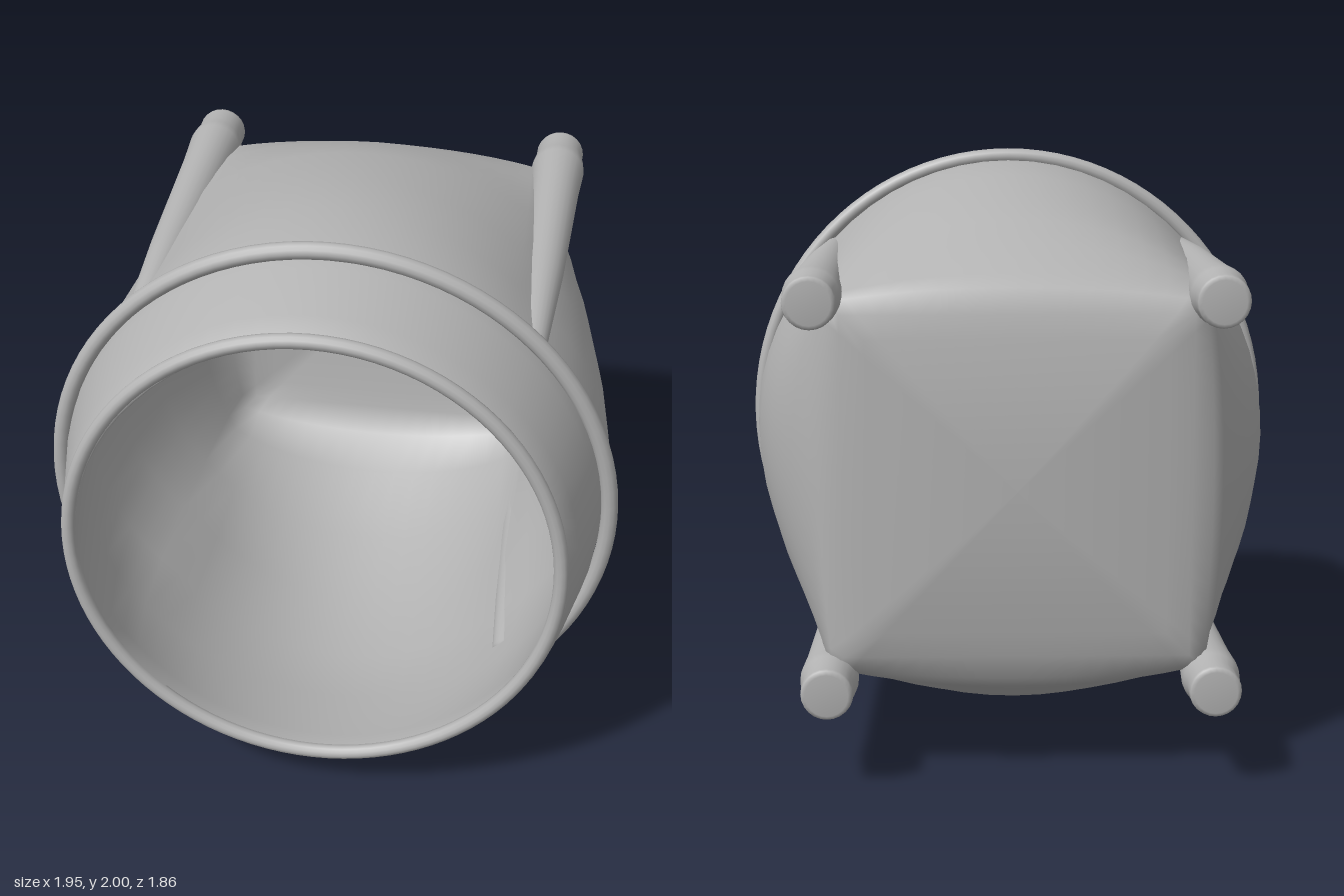
import * as THREE from 'three';

// One cross-section: four arched sides meeting at soft corners.
// c = corner half-width, mx / my = half-width and half-height at mid-side.
const SIDE = 16;
function section([z, c, mx, my, tilt = 0]) {
  const points = [];
  const k = Math.SQRT1_2;
  for (let s = 0; s < 4; s++) {
    for (let j = 0; j < SIDE; j++) {
      const a = (j / SIDE - 0.5) * Math.PI / 2;
      const across = c * Math.sin(a) / k;
      const bulge = (s % 2 ? my : mx) - c;
      const out = c + bulge * (Math.cos(a) - k) / (1 - k);
      const [x, y] = [[out, across], [-across, out], [-out, -across], [across, -out]][s];
      points.push(x, y, z + tilt * y);
    }
  }
  return points;
}

// Skin over a row of sections
function loft(sections) {
  const n = SIDE * 4;
  const positions = sections.flatMap(section);
  const index = [];
  for (let i = 0; i < sections.length - 1; i++) {
    for (let j = 0; j < n; j++) {
      const a = i * n + j, b = i * n + (j + 1) % n;
      index.push(a, b, b + n, a, b + n, a + n);
    }
  }
  const geometry = new THREE.BufferGeometry();
  geometry.setAttribute('position', new THREE.Float32BufferAttribute(positions, 3));
  geometry.setIndex(index);
  geometry.computeVertexNormals();
  return geometry;
}

export function createModel() {
  const group = new THREE.Group();
  const clay = new THREE.MeshStandardMaterial({ color: 0xb3b3b3 });
  const add = (name, geometry, x, y, z) => {
    const mesh = new THREE.Mesh(geometry, clay);
    mesh.name = name;
    mesh.position.set(x, y, z);
    group.add(mesh);
    return mesh;
  };

  // Gently domed back panel, outside and inside
  const steps = [0, 0.2, 0.4, 0.6, 0.8, 0.93];
  const panel = (z, size) => steps.map((f) => [z + 0.06 * f * f, size * f, size * f, size * f]);

  // Hollow body: square at the back, round at the mouth
  add('shell', loft([
    ...panel(-0.86, 0.61),
    [-0.785, 0.605, 0.64, 0.65],
    [-0.75, 0.62, 0.675, 0.69],
    [-0.6, 0.63, 0.745, 0.77],
    [-0.45, 0.635, 0.8, 0.83],
    [-0.3, 0.64, 0.845, 0.88],
    [0, 0.645, 0.905, 0.94],
    [0.25, 0.65, 0.935, 0.965],
    [0.45, 0.66, 0.925, 0.955, 0.02],
    [0.58, 0.65, 0.91, 0.935, 0.01],
    [0.8, 0.615, 0.86, 0.88, -0.02],
    [0.89, 0.595, 0.835, 0.855, -0.025],
    [0.905, 0.575, 0.81, 0.83, -0.025],
    [0.89, 0.565, 0.795, 0.82, -0.025],
    [0.8, 0.58, 0.82, 0.84, -0.02],
    [0.55, 0.62, 0.87, 0.9],
    [0.3, 0.605, 0.9, 0.93],
    [0, 0.59, 0.87, 0.905],
    [-0.3, 0.585, 0.81, 0.845],
    [-0.6, 0.575, 0.7, 0.73],
    [-0.74, 0.56, 0.62, 0.635],
    ...panel(-0.82, 0.56).reverse(),
  ]), 0, 1.005, 0);

  // Raised band around the body
  const band = add('band', new THREE.TorusGeometry(0.965, 0.029, 12, 96), 0, 1, 0.51);
  band.scale.set(0.98, 1.006, 1);
  band.rotation.x = 0.027;

  // Rolled lip of the mouth
  const lip = add('lip', new THREE.TorusGeometry(0.835, 0.025, 12, 96), -0.005, 1.01, 0.89);
  lip.scale.x = 0.975;
  lip.rotation.x = -0.025;

  // Corner posts, sinking into the body toward the band
  const profile = [
    [0, -0.92], [0.07, -0.92], [0.083, -0.912], [0.086, -0.9], [0.085, -0.84],
    [0.094, -0.79], [0.097, -0.75], [0.088, -0.6], [0.07, 0], [0.045, 0.48], [0, 0.49],
  ].map(([r, z]) => new THREE.Vector2(r, z));
  const post = new THREE.LatheGeometry(profile, 24).rotateX(Math.PI / 2);
  add('upperLeftPost', post, 0.652, 1.625, 0);
  add('upperRightPost', post, -0.645, 1.625, 0);
  add('lowerLeftPost', post, 0.62, 0.345, 0);
  add('lowerRightPost', post, -0.645, 0.345, 0);

  return group;
}
